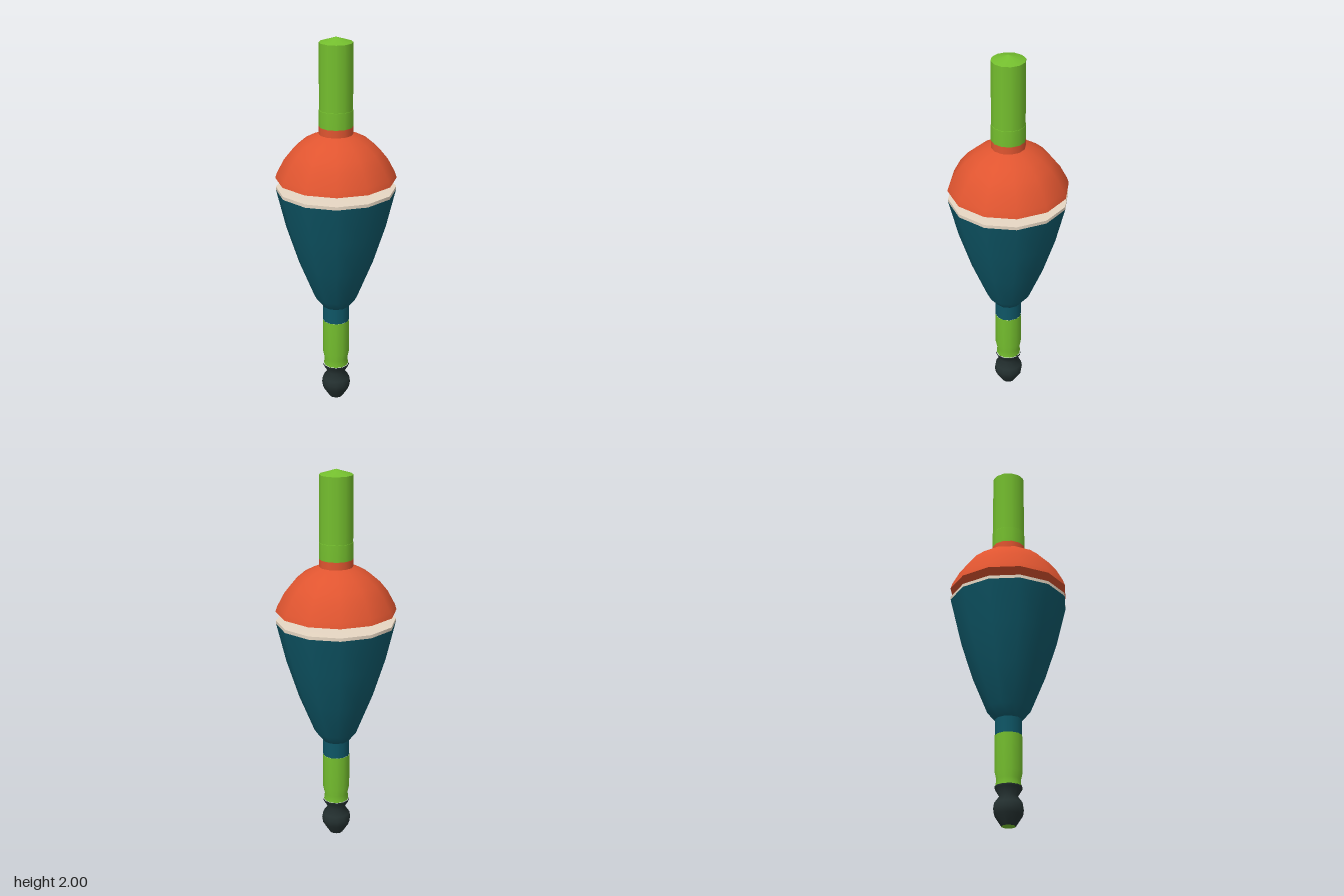
import * as THREE from 'three';

export function createModel() {
  const model = new THREE.Group();
  model.name = 'fishingFloat';

  const mat = (name, color) => {
    const m = new THREE.MeshStandardMaterial({ color });
    m.name = name;
    return m;
  };
  const green = mat('lime green', 0x74be2e);
  const orange = mat('orange', 0xe05530);
  const teal = mat('deep teal', 0x0e5666);
  const cream = mat('cream', 0xe6d6c2);
  const dark = mat('charcoal', 0x243030);

  // Twelve-sided turned piece; profile is [radius, y] from bottom to top
  const turn = (name, material, profile) => {
    const points = profile.map(([r, y]) => new THREE.Vector2(r, y));
    const mesh = new THREE.Mesh(new THREE.LatheGeometry(points, 12), material);
    mesh.name = name;
    model.add(mesh);
  };

  // Stem end and rounded bottom knob
  turn('stemEnd', green, [[0, 0], [0.036, 0]]);
  turn('bottomKnob', dark, [
    [0.036, 0], [0.072, 0.055], [0.077, 0.085], [0.072, 0.115],
    [0.046, 0.15], [0.07, 0.19], [0.07, 0.2],
  ]);

  // Lower sleeve with a shallow waist
  turn('lowerSleeve', green, [[0.066, 0.2], [0.062, 0.235], [0.071, 0.275], [0.071, 0.465]]);

  // Tapered body and its neck
  turn('bodyNeck', teal, [[0.07, 0.465], [0.07, 0.55]]);
  turn('body', teal, [
    [0.07, 0.55], [0.115, 0.605], [0.195, 0.8], [0.26, 1.0], [0.31, 1.205],
  ]);

  // Cream rim and the top face of the body
  turn('bodyRim', cream, [[0.31, 1.205], [0.31, 1.222]]);
  turn('bodyTop', cream, [[0.31, 1.222], [0.12, 1.227], [0, 1.227]]);

  // Post joining the body to the cap
  turn('post', orange, [[0.122, 1.22], [0.122, 1.256]]);

  // Domed cap with a slightly sloping underside
  turn('capUnderside', orange, [[0.12, 1.253], [0.312, 1.27]]);
  turn('cap', orange, [
    [0.312, 1.27], [0.302, 1.3], [0.265, 1.37], [0.225, 1.42],
    [0.175, 1.463], [0.125, 1.49], [0.088, 1.505],
  ]);
  turn('collar', orange, [[0.088, 1.5], [0.088, 1.545]]);

  // Antenna with a low pointed tip
  turn('antennaSocket', green, [[0.088, 1.545], [0.088, 1.63], [0.086, 1.632]]);
  turn('antenna', green, [[0.086, 1.6], [0.086, 1.973]]);
  turn('antennaTip', green, [[0.086, 1.973], [0, 2.0]]);

  return model;
}
